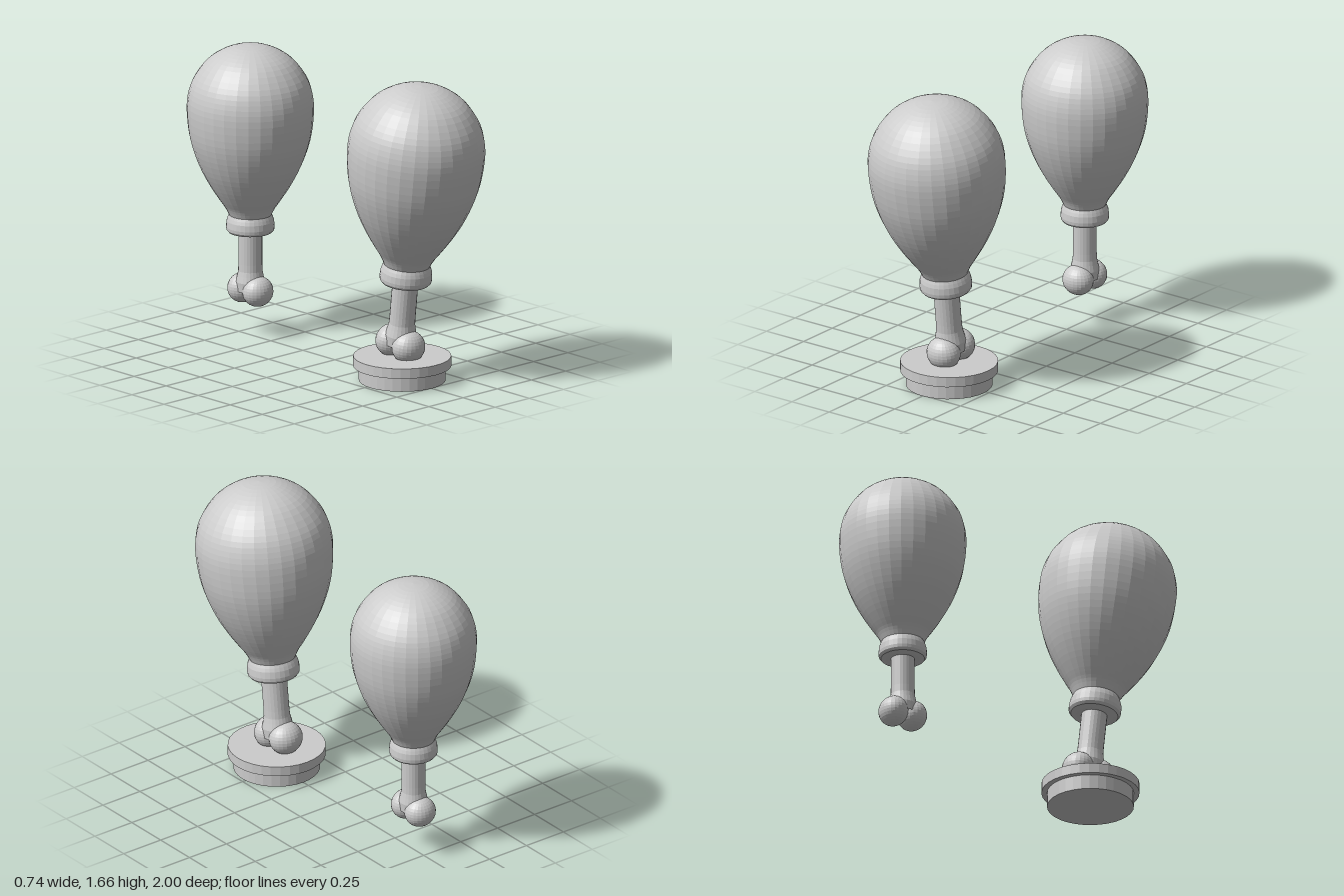
import * as THREE from 'three';

const material = new THREE.MeshStandardMaterial({ color: 0xcccccc, flatShading: true });

function part(name, geometry, parent) {
  const mesh = new THREE.Mesh(geometry, material);
  mesh.name = name;
  parent.add(mesh);
  return mesh;
}

// Drumstick standing on its bone end, 1.44 tall
function makeDrumstick(name) {
  const group = new THREE.Group();
  group.name = name;

  // Meat: smooth pear profile from the cuff up to the crown
  const outline = [
    [0.114, 0.50], [0.135, 0.542], [0.168, 0.59], [0.216, 0.665], [0.264, 0.755],
    [0.305, 0.86], [0.330, 0.965], [0.340, 1.09], [0.330, 1.18], [0.300, 1.26],
    [0.237, 1.345], [0.165, 1.398], [0.085, 1.43], [0, 1.44],
  ].map(([r, y]) => new THREE.Vector2(r, y));
  const meat = new THREE.SplineCurve(outline).getPoints(40);
  meat[meat.length - 1].x = 0;
  part('meat', new THREE.LatheGeometry(meat, 32), group);

  // Rolled cuff where the meat ends
  const cuff = [
    [0, 0.405], [0.09, 0.400], [0.117, 0.405], [0.128, 0.418], [0.130, 0.435],
    [0.127, 0.468], [0.121, 0.486], [0.113, 0.505], [0.10, 0.515],
  ].map(([r, y]) => new THREE.Vector2(r, y));
  part('cuff', new THREE.LatheGeometry(cuff, 32), group);

  // Bone shaft, flaring a little into the knuckle
  const shaft = [
    [0.075, 0.08], [0.078, 0.13], [0.070, 0.165], [0.065, 0.19], [0.064, 0.23], [0.064, 0.42],
  ].map(([r, y]) => new THREE.Vector2(r, y));
  part('boneShaft', new THREE.LatheGeometry(shaft, 24), group);

  // Knuckle: two lobes side by side along z
  for (const side of [-1, 1]) {
    const lobe = part('boneLobe', new THREE.SphereGeometry(1, 24, 16), group);
    lobe.scale.set(0.088, 0.082, 0.077);
    lobe.position.set(0, 0.083, side * 0.059);
  }
  return group;
}

export function createModel() {
  const model = new THREE.Group();
  model.name = 'drumsticks';

  // Upright drumstick floating at the back
  const back = makeDrumstick('backDrumstick');
  back.position.set(0, 0.17, -0.66);
  model.add(back);

  // Larger drumstick leaning forward on its stand
  const front = makeDrumstick('frontDrumstick');
  front.scale.setScalar(1.085);
  front.rotation.x = THREE.MathUtils.degToRad(6.5);
  front.position.set(0, 0.11, 0.5);
  model.add(front);

  // Stepped round stand
  const stand = new THREE.Group();
  stand.name = 'stand';
  stand.position.z = 0.525;
  part('standFoot', new THREE.CylinderGeometry(0.232, 0.232, 0.08, 32), stand).position.y = 0.04;
  part('standTop', new THREE.CylinderGeometry(0.262, 0.262, 0.055, 32), stand).position.y = 0.1075;
  model.add(stand);

  return model;
}
